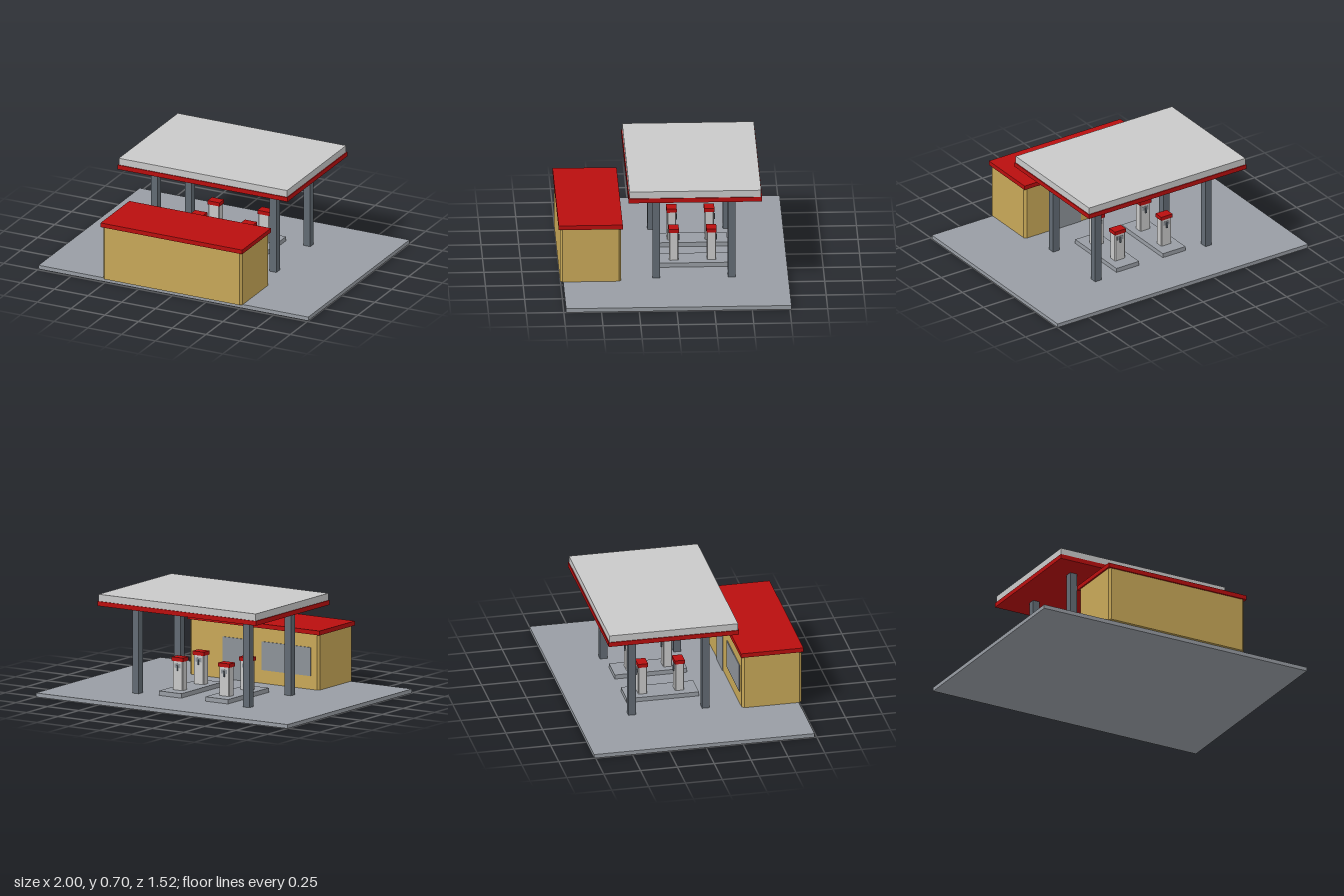
import * as THREE from 'three';

const mat = (name, color) => {
  const m = new THREE.MeshStandardMaterial({ color });
  m.name = name;
  return m;
};

export function createModel() {
  const concrete = mat('concrete', 0x989da4);
  const red = mat('red trim', 0xb90e0e);
  const white = mat('light grey panel', 0xc9c9c9);
  const sand = mat('sand wall', 0xc8a858);
  const steel = mat('dark steel', 0x626b74);
  const glass = mat('grey glass', 0x8d9298);

  const root = new THREE.Group();
  root.name = 'fuelStation';

  const add = (parent, name, geometry, material) => {
    const mesh = new THREE.Mesh(geometry, material);
    mesh.name = name;
    parent.add(mesh);
    return mesh;
  };

  // Box given by its extents on each axis
  const box = (parent, name, material, [x0, x1], [y0, y1], [z0, z1]) => {
    const g = new THREE.BoxGeometry(x1 - x0, y1 - y0, z1 - z0);
    g.translate((x0 + x1) / 2, (y0 + y1) / 2, (z0 + z1) / 2);
    return add(parent, name, g, material);
  };

  // Upright block with chamfered vertical corners, base at y = 0
  const chamferedBlock = (w, h, d, c) => {
    const x = w / 2, z = d / 2;
    const s = new THREE.Shape([
      [-x + c, -z], [x - c, -z], [x, -z + c], [x, z - c],
      [x - c, z], [-x + c, z], [-x, z - c], [-x, -z + c],
    ].map(([a, b]) => new THREE.Vector2(a, b)));
    return new THREE.ExtrudeGeometry(s, { depth: h, bevelEnabled: false }).rotateX(-Math.PI / 2);
  };

  // Forecourt slab
  box(root, 'forecourt', concrete, [-1, 1], [0, 0.027], [-0.76, 0.735]);

  // Canopy and its columns
  const canopy = new THREE.Group();
  canopy.name = 'canopy';
  root.add(canopy);
  box(canopy, 'canopyTrim', red, [-0.63, 0.63], [0.625, 0.656], [-0.58, 0.305]);
  box(canopy, 'canopyRoof', white, [-0.624, 0.624], [0.656, 0.703], [-0.574, 0.299]);
  for (const x of [-0.44, 0.44]) {
    for (const z of [-0.385, 0.115]) {
      box(canopy, 'column', steel, [x - 0.025, x + 0.025], [0.027, 0.625], [z - 0.025, z + 0.025]);
    }
  }

  // Shop, with its glazed side facing the pumps
  const shop = new THREE.Group();
  shop.name = 'shop';
  root.add(shop);
  add(shop, 'shopWalls', chamferedBlock(1.03, 0.373, 0.405, 0.015), sand).position.set(0, 0.027, 0.5525);
  box(shop, 'shopRoof', red, [-0.525, 0.525], [0.4, 0.43], [0.34, 0.765]);
  box(shop, 'shopWindow', glass, [-0.45, -0.06], [0.117, 0.31], [0.344, 0.351]);
  box(shop, 'shopDoor', glass, [0.07, 0.25], [0.027, 0.31], [0.344, 0.351]);

  // One pump, standing on y = 0 and serving towards -z
  const makePump = () => {
    const pump = new THREE.Group();
    pump.name = 'pump';
    add(pump, 'pumpBody', chamferedBlock(0.08, 0.195, 0.06, 0.005), white);
    box(pump, 'pumpCap', red, [-0.045, 0.045], [0.195, 0.221], [-0.034, 0.034]);
    box(pump, 'pumpScreen', glass, [-0.024, 0.024], [0.15, 0.178], [-0.032, -0.029]);
    box(pump, 'nozzle', steel, [-0.005, 0.005], [0.13, 0.168], [-0.038, -0.029]);
    return pump;
  };

  // Two islands with two pumps each
  for (const x of [-0.185, 0.185]) {
    box(root, 'pumpIsland', concrete, [x - 0.09, x + 0.09], [0.027, 0.057], [-0.38, 0.11]);
    for (const z of [-0.26, -0.01]) {
      const pump = makePump();
      pump.position.set(x, 0.057, z);
      root.add(pump);
    }
  }

  return root;
}
